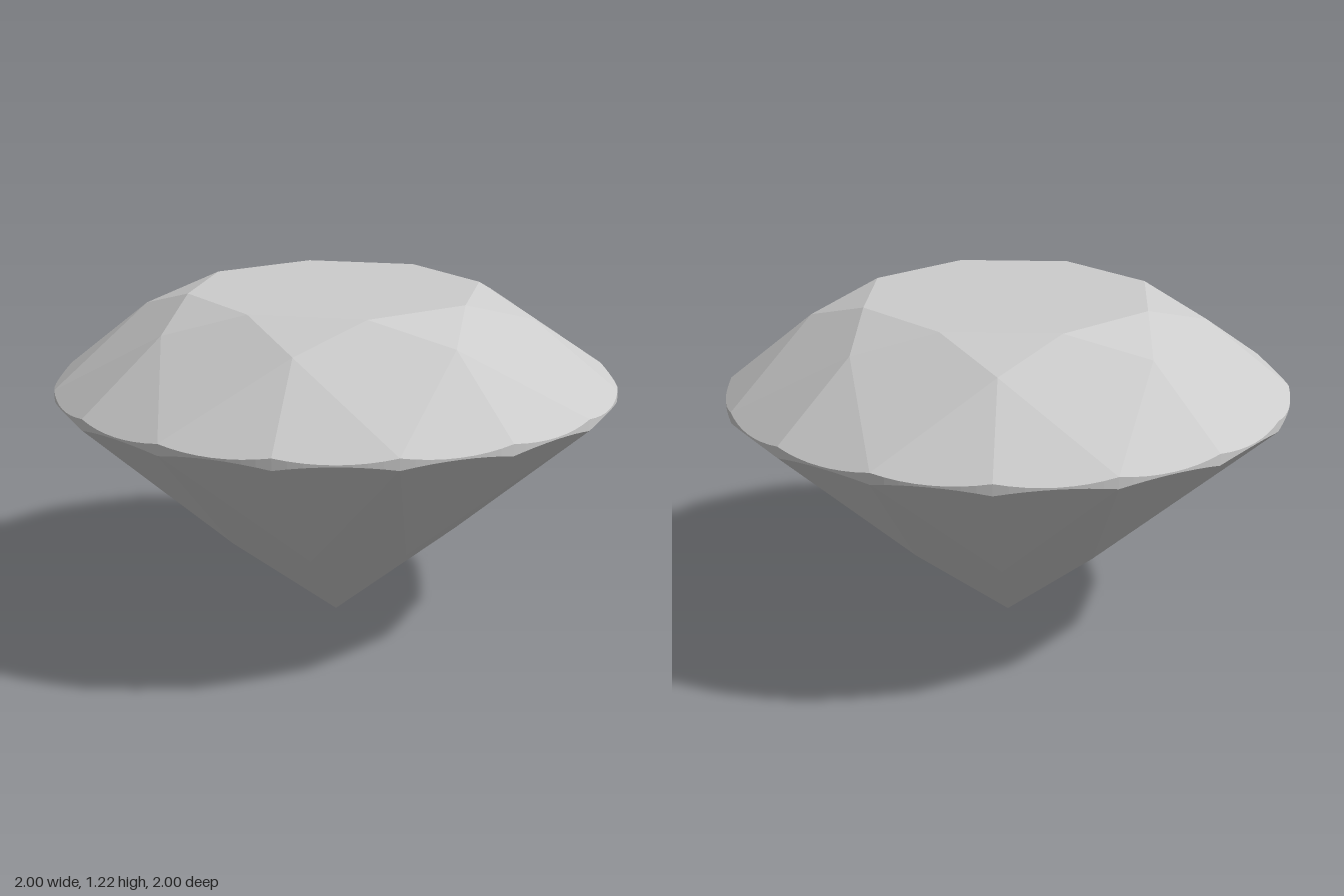
import * as THREE from 'three';

const STEP = Math.PI / 8;                        // 16 girdle corners
const OFFSET = THREE.MathUtils.degToRad(5.2);    // turn of the whole stone
const ARC = 8;                                   // girdle segments per corner
const CORE = new THREE.Vector3(0, 0.8, 0);       // a point inside the stone

// Ring position: k counts sixteenths of a turn
const at = (k, r, y) => {
  const a = OFFSET + k * STEP;
  return new THREE.Vector3(r * Math.cos(a), y, r * Math.sin(a));
};

// Heights and radii of the facet corners (odd k: main facets, even k: between)
const table = (k) => at(k, 0.525, 1.223);
const star = (k) => at(k, 0.70, 1.14);
const girdleTop = (k) => at(k, 1, 0.90);
const girdleBottom = (k) => at(k, 1, 0.86);
const pavilionMid = (k) => at(k, 0.44, 0.35);
const culet = new THREE.Vector3(0, 0, 0);

// Add a flat convex polygon as a fan, turned to face outward
function facet(out, pts) {
  for (let i = 1; i < pts.length - 1; i++) {
    const [a, b, c] = [pts[0], pts[i], pts[i + 1]];
    const n = b.clone().sub(a).cross(c.clone().sub(a));
    const tri = n.dot(a.clone().sub(CORE)) > 0 ? [a, b, c] : [a, c, b];
    for (const p of tri) out.push(p.x, p.y, p.z);
  }
}

// Scalloped edge: where the plane of a girdle facet cuts the unit cylinder
function scallop(inner, k0, k1, rim) {
  const plane = new THREE.Plane().setFromCoplanarPoints(inner, rim(k0), rim(k1));
  const pts = [];
  for (let i = 0; i <= ARC; i++) {
    const p = at(k0 + ((k1 - k0) * i) / ARC, 1, 0);
    p.y = -(plane.constant + plane.normal.x * p.x + plane.normal.z * p.z) / plane.normal.y;
    pts.push(p);
  }
  return pts;
}

function addMesh(group, name, positions) {
  const geo = new THREE.BufferGeometry();
  geo.setAttribute('position', new THREE.Float32BufferAttribute(positions, 3));
  geo.computeVertexNormals();
  const mat = new THREE.MeshStandardMaterial({ color: 0xcccccc, flatShading: true });
  const mesh = new THREE.Mesh(geo, mat);
  mesh.name = name;
  group.add(mesh);
}

export function createModel() {
  const group = new THREE.Group();
  group.name = 'cutGemstone';
  const tableTop = [], stars = [], bezels = [], upperGirdle = [];
  const girdle = [], lowerGirdle = [], pavilionMains = [];

  // Flat octagonal table
  facet(tableTop, Array.from({ length: 8 }, (_, i) => table(2 * i + 1)));

  for (let i = 0; i < 8; i++) {
    const k = 2 * i;      // star direction
    const m = k + 1;      // main direction

    // Crown stars and kites, pavilion kites
    facet(stars, [table(k - 1), star(k), table(k + 1)]);
    facet(bezels, [table(m), star(m - 1), girdleTop(m), star(m + 1)]);
    facet(pavilionMains, [culet, pavilionMid(m - 1), girdleBottom(m), pavilionMid(m + 1)]);

    // Girdle facets on both sides of each star direction, with the rim between
    for (const side of [-1, 1]) {
      const top = scallop(star(k), k, k + side, girdleTop);
      const bottom = scallop(pavilionMid(k), k, k + side, girdleBottom);
      facet(upperGirdle, [star(k), ...top]);
      facet(lowerGirdle, [pavilionMid(k), ...bottom]);
      for (let j = 0; j < ARC; j++) {
        facet(girdle, [top[j], top[j + 1], bottom[j + 1], bottom[j]]);
      }
    }
  }

  addMesh(group, 'table', tableTop);
  addMesh(group, 'starFacets', stars);
  addMesh(group, 'bezelFacets', bezels);
  addMesh(group, 'upperGirdleFacets', upperGirdle);
  addMesh(group, 'girdle', girdle);
  addMesh(group, 'lowerGirdleFacets', lowerGirdle);
  addMesh(group, 'pavilionMainFacets', pavilionMains);
  return group;
}
